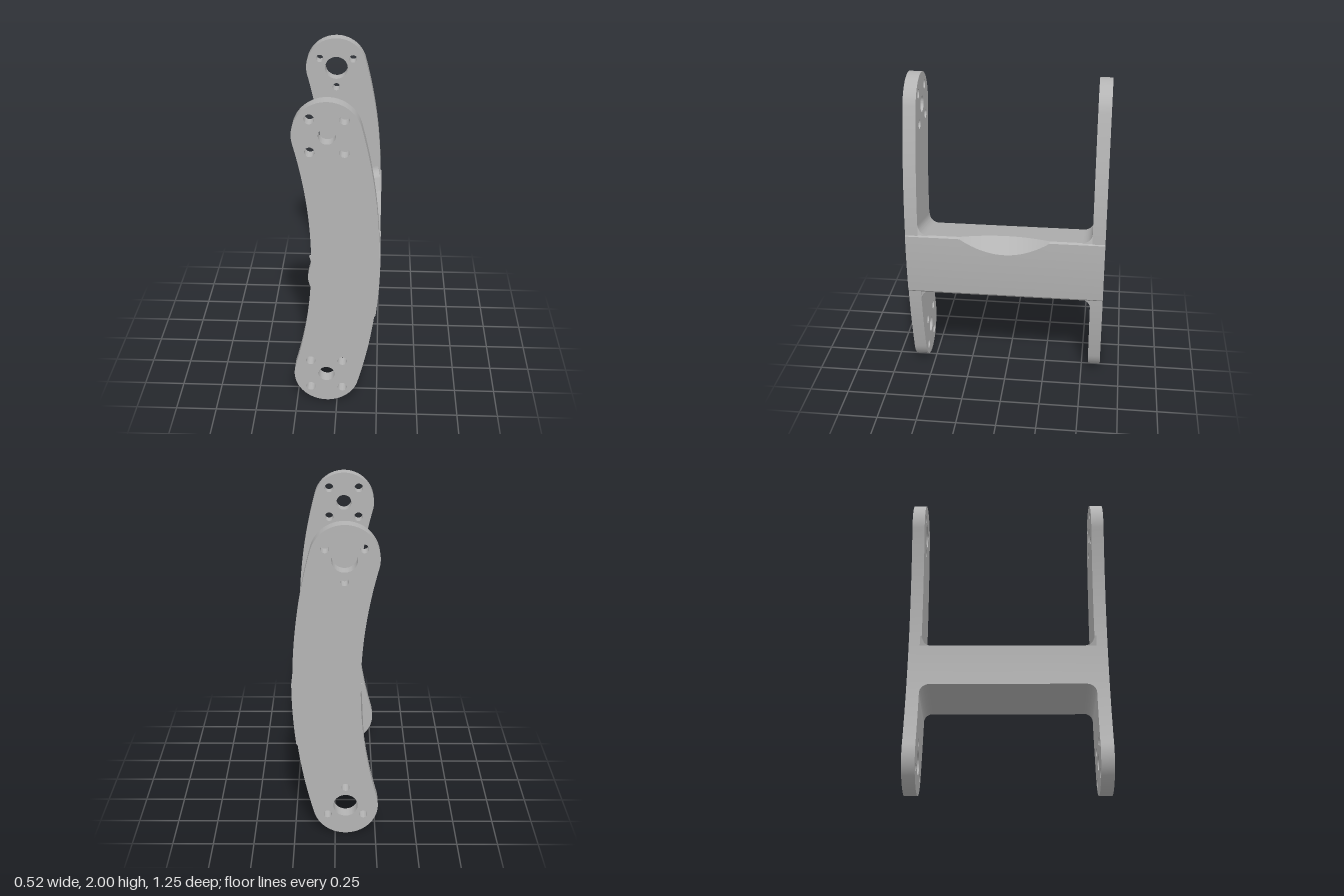
import * as THREE from 'three';
import { toCreasedNormals } from 'three/addons/utils/BufferGeometryUtils.js';

// The curved arms follow an arc about (CX, CY)
const CX = -2.95, CY = 1.02, R = 3, HALF = 0.2, LIP = 3.207;
const Z_OUT = 0.625, Z_IN = 0.545;
const A_TOP = Math.asin(0.78 / R), A_BOT = Math.asin(-0.82 / R);
const arcX = (radius, y) => CX + Math.sqrt(radius * radius - (y - CY) ** 2);
const arcPoint = a => [CX + R * Math.cos(a), CY + R * Math.sin(a)];

// Crossbar corners, seen from the front
const TOP_IN = [arcX(R - HALF, 0.94), 0.94], TOP_OUT = [0.256, 1.045];
const BOT_IN = [arcX(R - HALF, 0.67), 0.67], BOT_OUT = [0.222, 0.621];

function armGeometry(holes) {
  const shape = new THREE.Shape();
  shape.absarc(CX, CY, R + HALF, A_BOT, A_TOP, false);
  shape.absarc(...arcPoint(A_TOP), HALF, A_TOP, A_TOP + Math.PI, false);
  shape.absarc(CX, CY, R - HALF, A_TOP, A_BOT, true);
  shape.absarc(...arcPoint(A_BOT), HALF, A_BOT + Math.PI, A_BOT + 2 * Math.PI, false);
  for (const [a, s] of [[A_TOP, 1], [A_BOT, -1]]) {
    const [x, y] = arcPoint(a);
    for (const [dx, dy, r] of holes) {
      const hole = new THREE.Path();
      hole.absarc(x + dx, y + s * dy, r, 0, Math.PI * 2, true);
      shape.holes.push(hole);
    }
  }
  const geo = new THREE.ExtrudeGeometry(shape, { depth: Z_OUT - Z_IN, bevelEnabled: false, curveSegments: 32 });
  return toCreasedNormals(geo, 0.6);
}

// Crossbar cross-section at z, its upper outer edge cut away by the scoop
function barSection(z) {
  const k = Math.max(0.12, 1 - (z / 0.3) ** 2);
  const pts = [];
  for (let i = 0; i <= 6; i++) {
    const y = THREE.MathUtils.lerp(TOP_IN[1], BOT_IN[1], i / 6);
    pts.push([arcX(R - HALF, y), y]);
  }
  pts.push(BOT_OUT);
  const sideY = TOP_OUT[1] - 0.11 * k;
  for (let i = 0; i <= 8; i++) {
    const y = THREE.MathUtils.lerp(0.635, sideY, i / 8);
    pts.push([arcX(LIP, y), y]);
  }
  const slope = (TOP_OUT[1] - TOP_IN[1]) / (TOP_OUT[0] - TOP_IN[0]);
  pts.push([TOP_OUT[0] - 0.1 * k, TOP_OUT[1] - 0.1 * k * slope]);
  return pts;
}

function barGeometry() {
  const zs = [-Z_OUT];
  for (let i = -16; i <= 16; i++) zs.push(i * 0.3 / 16);
  zs.push(Z_OUT);
  const pos = [], idx = [];
  const n = barSection(0).length;
  for (const z of zs) for (const [x, y] of barSection(z)) pos.push(x, y, z);
  for (let s = 0; s < zs.length - 1; s++) {
    for (let i = 0; i < n; i++) {
      const a = s * n + i, b = s * n + (i + 1) % n;
      idx.push(a, b, b + n, a, b + n, a + n);
    }
  }
  // End caps
  const cap = THREE.ShapeUtils.triangulateShape(barSection(Z_OUT).map(p => new THREE.Vector2(...p)), []);
  const last = (zs.length - 1) * n;
  for (const [a, b, c] of cap) idx.push(a + last, b + last, c + last, c, b, a);
  const geo = new THREE.BufferGeometry();
  geo.setAttribute('position', new THREE.Float32BufferAttribute(pos, 3));
  geo.setIndex(idx);
  return toCreasedNormals(geo, 0.3);
}

// Concave fillet between the crossbar and an arm
function filletGeometry(inner, outer, sz, sv) {
  const r = 0.062;
  const shape = new THREE.Shape();
  shape.moveTo(-0.01, -0.01);
  shape.lineTo(r, -0.01);
  shape.lineTo(r, 0);
  shape.absarc(r, r, r, -Math.PI / 2, -Math.PI, true);
  shape.lineTo(-0.01, r);
  const along = new THREE.Vector3(outer[0] - inner[0], outer[1] - inner[1], 0);
  const depth = along.length();
  along.normalize();
  const u = new THREE.Vector3(0, 0, -sz);
  const v = new THREE.Vector3(-along.y, along.x, 0).multiplyScalar(sv);
  const w = new THREE.Vector3().crossVectors(u, v);
  const start = sz * sv > 0 ? inner : outer;
  const geo = new THREE.ExtrudeGeometry(shape, { depth, bevelEnabled: false, curveSegments: 10 });
  geo.applyMatrix4(new THREE.Matrix4().makeBasis(u, v, w).setPosition(start[0], start[1], sz * Z_IN));
  return toCreasedNormals(geo, 0.5);
}

export function createModel() {
  const group = new THREE.Group();
  const metal = new THREE.MeshStandardMaterial({ color: 0xb4b4b4 });
  metal.name = 'greyMetal';
  const add = (name, geo, z = 0) => {
    const mesh = new THREE.Mesh(geo, metal);
    mesh.name = name;
    mesh.position.z = z;
    group.add(mesh);
  };

  // Front arm: small bore with four bolt holes at each end
  const square = [[0, 0, 0.05]];
  for (const sx of [-1, 1]) for (const sy of [-1, 1]) square.push([sx * 0.098, sy * 0.098, 0.029]);
  add('frontArm', armGeometry(square), Z_IN);

  // Back arm: large bore with three bolt holes at each end
  const triangle = [[0, 0, 0.075], [-0.11, 0.063, 0.025], [0.11, 0.063, 0.025], [0, -0.13, 0.025]];
  add('backArm', armGeometry(triangle), -Z_OUT);

  add('crossbar', barGeometry());

  for (const [sz, side] of [[1, 'front'], [-1, 'back']]) {
    add(side + 'UpperFillet', filletGeometry(TOP_IN, [0.247, 1.0425], sz, 1));
    add(side + 'LowerFillet', filletGeometry(BOT_IN, [0.214, 0.622], sz, -1));
  }
  return group;
}
